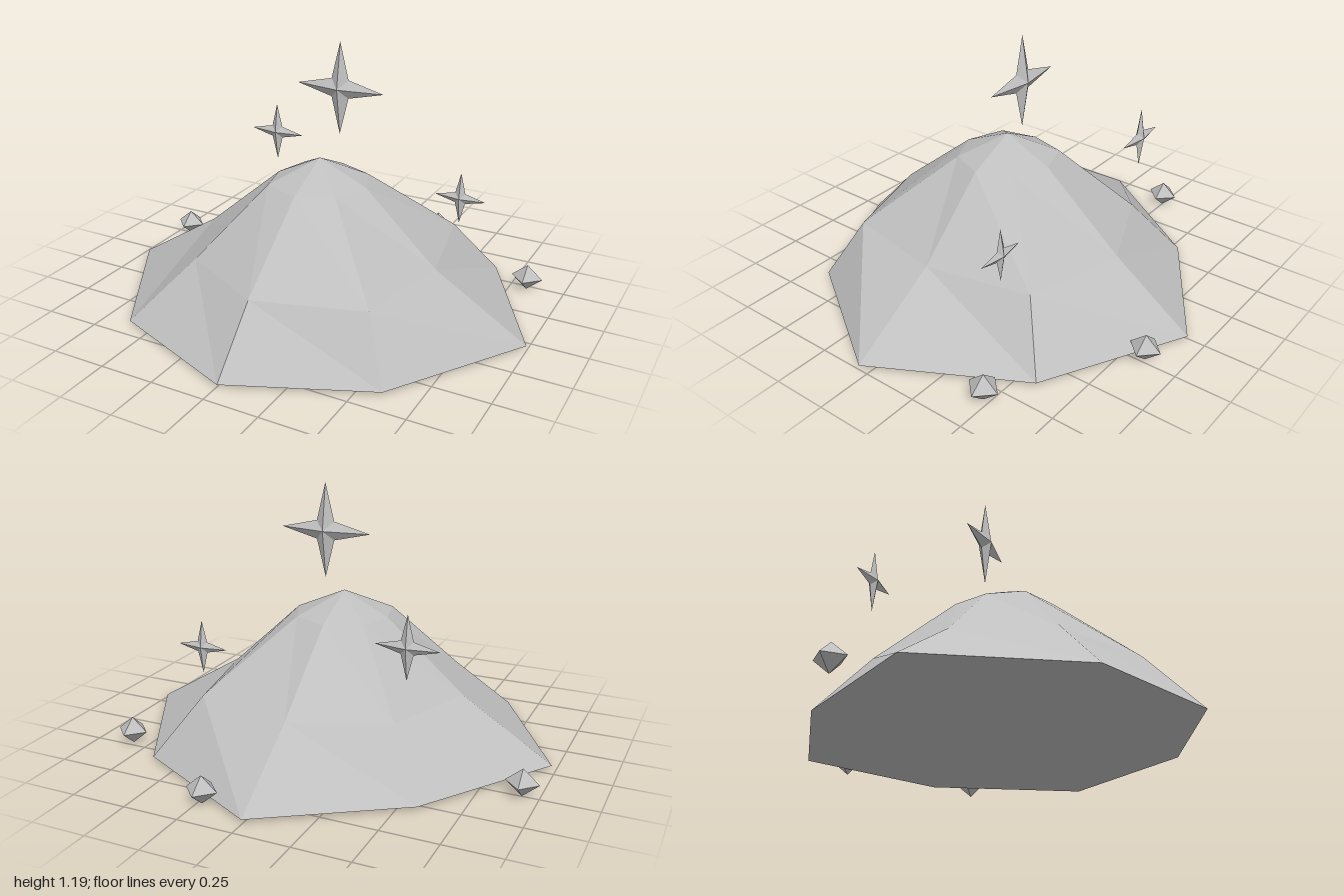
import * as THREE from 'three';

const stone = new THREE.MeshStandardMaterial({ color: 0xbfbfbf });
stone.name = 'pale grey';

// Flat-shaded mesh from a list of triangles, each with three [x, y, z] corners
function facetMesh(name, triangles) {
  const geometry = new THREE.BufferGeometry();
  geometry.setAttribute('position', new THREE.Float32BufferAttribute(triangles.flat(2), 3));
  geometry.computeVertexNormals();
  const mesh = new THREE.Mesh(geometry, stone);
  mesh.name = name;
  return mesh;
}

// Faceted hill: three irregular eight-sided rings and a peak
function createMound() {
  const ring = (y, points) => points.map(([x, z]) => [x, y, z]);
  // Corners run from the front round by +x to the back
  const rings = [
    ring(0.015, [[0.005, 0.91], [0.605, 0.65], [0.995, 0.05], [0.64, -0.59],
      [0.005, -0.92], [-0.58, -0.54], [-0.98, 0.05], [-0.615, 0.67]]),
    ring(0.275, [[0.005, 0.665], [0.48, 0.52], [0.57, 0.05], [0.47, -0.43],
      [0.005, -0.55], [-0.41, -0.37], [-0.57, 0.05], [-0.4, 0.455]]),
    ring(0.587, [[0.005, 0.28], [0.165, 0.21], [0.235, 0.05], [0.165, -0.11],
      [0.005, -0.175], [-0.16, -0.115], [-0.205, 0.05], [-0.165, 0.215]]),
  ];
  const peak = [0.005, 0.69, 0.05];
  const foot = [0.005, 0.015, 0.05];
  const triangles = [];
  for (let i = 0; i < 8; i++) {
    const j = (i + 1) % 8;
    for (let r = 0; r < 2; r++) {
      const low = rings[r], high = rings[r + 1];
      triangles.push([low[i], low[j], high[i]], [high[i], low[j], high[j]]);
    }
    triangles.push([rings[2][i], rings[2][j], peak]);
    triangles.push([rings[0][j], rings[0][i], foot]);
  }
  return facetMesh('mound', triangles);
}

// Four-pointed star, raised to a point in the middle of both faces
function createStar(name, radius, x, y, z) {
  const rim = [];
  for (let i = 0; i < 8; i++) {
    const r = i % 2 ? radius * 0.28 : radius;
    const a = (i * Math.PI) / 4;
    rim.push([r * Math.cos(a), r * Math.sin(a), 0]);
  }
  const depth = radius * 0.155;
  const triangles = [];
  rim.forEach((p, i) => {
    const q = rim[(i + 1) % 8];
    triangles.push([p, q, [0, 0, depth]], [q, p, [0, 0, -depth]]);
  });
  const star = facetMesh(name, triangles);
  star.position.set(x, y, z);
  return star;
}

// Small eight-faced pebble
function createPebble(name, x, z) {
  const pebble = new THREE.Mesh(new THREE.OctahedronGeometry(1), stone);
  pebble.name = name;
  pebble.scale.set(0.073, 0.062, 0.073);
  pebble.position.set(x, 0.062, z);
  return pebble;
}

export function createModel() {
  const model = new THREE.Group();
  model.name = 'sparklingMound';
  model.add(
    createMound(),
    createStar('topStar', 0.21, 0.045, 0.983, -0.062),
    createStar('rightStar', 0.141, -0.457, 0.61, -0.362),
    createStar('leftStar', 0.122, 0.53, 0.46, -0.325),
    createPebble('rightPebble', -0.927, -0.248),
    createPebble('leftPebble', 0.828, -0.472),
    createPebble('backPebble', 0.23, -0.845),
  );
  return model;
}
